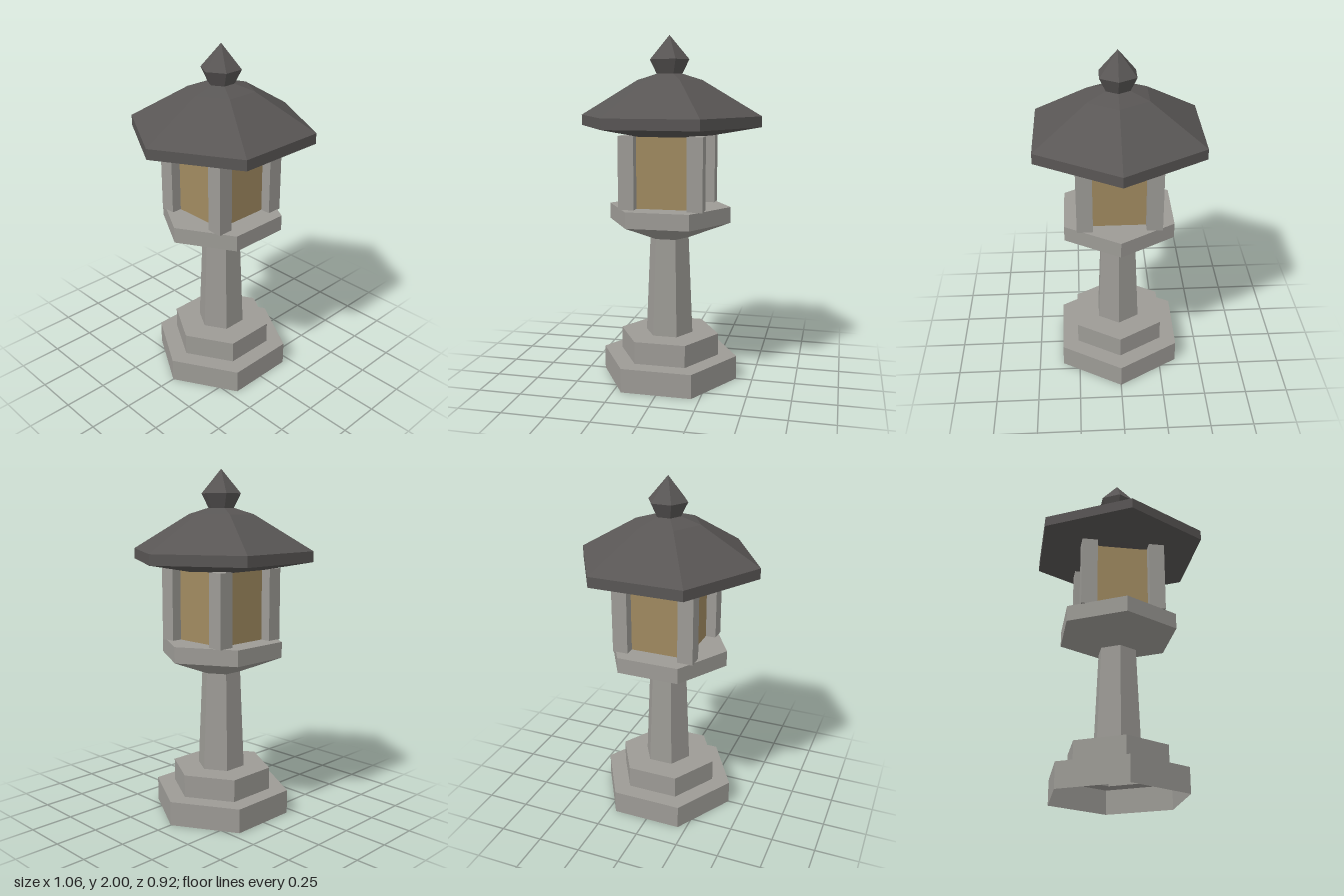
import * as THREE from 'three';

export function createModel() {
  const model = new THREE.Group();
  model.name = 'stoneLantern';

  const material = (name, color, extra = {}) => {
    const m = new THREE.MeshStandardMaterial({ color, flatShading: true, ...extra });
    m.name = name;
    return m;
  };
  const stone = material('pale stone', 0x9d9b96, { side: THREE.DoubleSide });
  const slate = material('dark slate', 0x595655, { side: THREE.DoubleSide });
  const paper = material('amber panel', 0xa08a60);

  const add = (name, geometry, mat, x = 0, y = 0, z = 0) => {
    const mesh = new THREE.Mesh(geometry, mat);
    mesh.name = name;
    mesh.position.set(x, y, z);
    model.add(mesh);
  };

  // Six-sided shell from [radius, height] pairs, with corners on the x axis
  const hex = (name, profile, mat) => {
    const points = profile.map(([r, y]) => new THREE.Vector2(r, y));
    add(name, new THREE.LatheGeometry(points, 6, Math.PI / 2), mat);
  };

  // Stepped base, hollow underneath
  hex('base', [[0.405, 0], [0.405, 0.14], [0.295, 0.14], [0.295, 0.27], [0.14, 0.27]], stone);
  // Tapering column
  hex('column', [[0.14, 0.27], [0.115, 0.845]], stone);
  // Flared platform under the lamp house
  hex('platform', [[0.115, 0.845], [0.36, 0.94], [0.36, 1.032], [0, 1.032]], stone);

  // Square lamp house: glowing core and four corner posts
  const bottom = 1.03, top = 1.445;
  const height = top - bottom, middle = (top + bottom) / 2;
  add('lampPanels', new THREE.BoxGeometry(0.36, height, 0.36), paper, 0, middle, 0);
  for (const x of [-1, 1]) {
    for (const z of [-1, 1]) {
      add('cornerPost', new THREE.BoxGeometry(0.09, height, 0.09), stone, x * 0.195, middle, z * 0.195);
    }
  }

  // Roof with sloping underside, rim and two slopes
  hex('roof', [[0, 1.44], [0.25, 1.44], [0.53, 1.49], [0.53, 1.55], [0.19, 1.75], [0.075, 1.785]], slate);
  // Pointed finial
  hex('finial', [[0.075, 1.785], [0.115, 1.865], [0, 2]], slate);

  return model;
}
